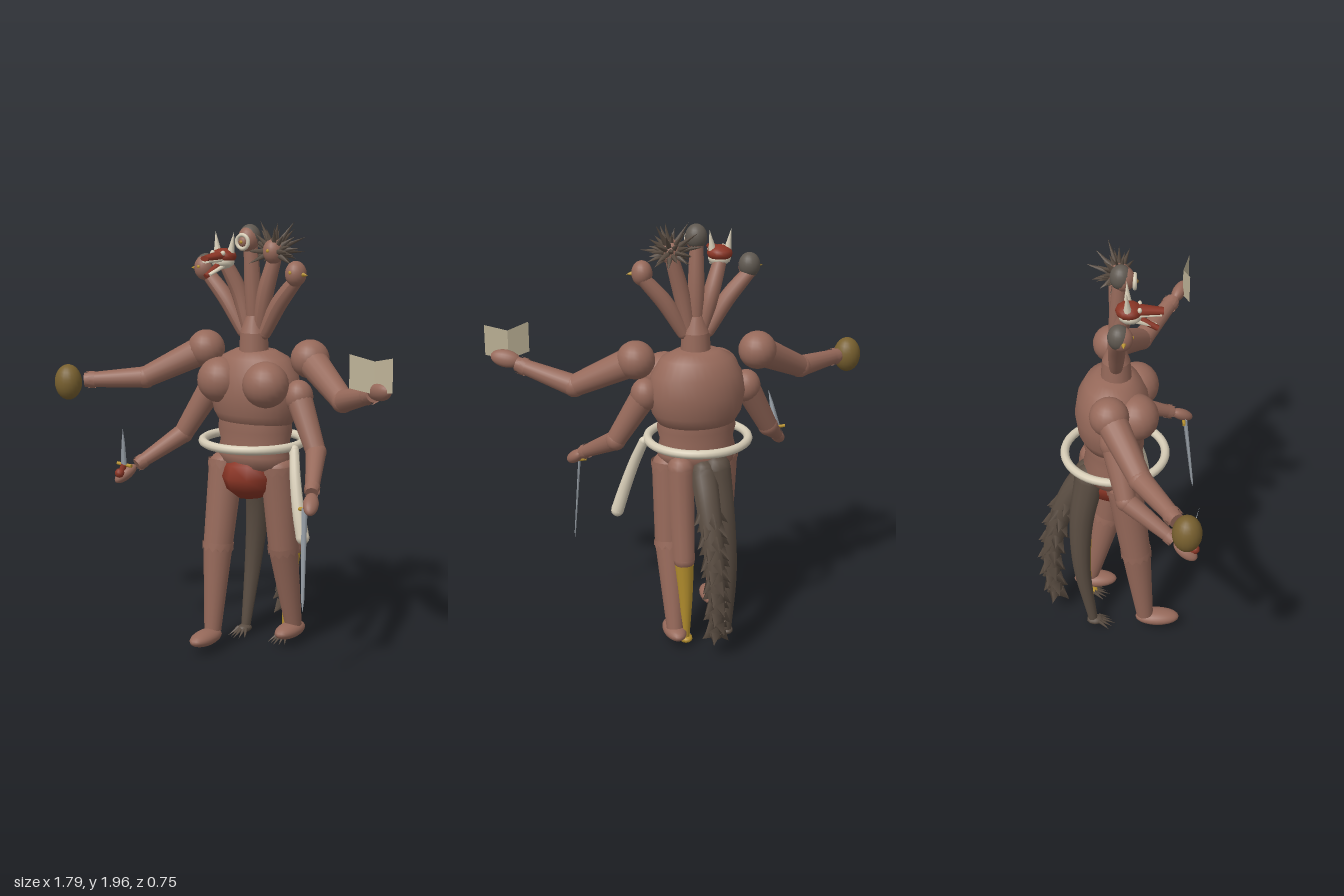
import * as THREE from 'three';

const V = (x, y, z) => new THREE.Vector3(x, y, z);
const paint = (name, color, side = THREE.FrontSide) => {
  const m = new THREE.MeshStandardMaterial({ color, side });
  m.name = name;
  return m;
};

export function createModel() {
  const model = new THREE.Group();
  const D = THREE.DoubleSide;
  const skin = paint('skin brown', 0x96695a, D), red = paint('red', 0x8a3525), dark = paint('dark scale', 0x5a4d42, D);
  const cream = paint('ivory', 0xd6ccb6), gold = paint('gold', 0xb8922f), olive = paint('bronze', 0x78602f);
  const steel = paint('steel', 0xa0a8b0, D), page = paint('parchment', 0xbfb498, D), grey = paint('grey hair', 0x5f5850);

  const add = (name, geo, mat, pos) => {
    const mesh = new THREE.Mesh(geo, mat);
    mesh.name = name;
    if (pos) mesh.position.copy(pos);
    model.add(mesh);
    return mesh;
  };
  const ball = (name, p, rx, ry, rz, mat, w = 20, h = 14) => {
    const m = add(name, new THREE.SphereGeometry(1, w, h), mat, p);
    m.scale.set(rx, ry, rz);
    return m;
  };
  const align = (mesh, dir) => mesh.quaternion.setFromUnitVectors(V(0, 1, 0), dir.clone().normalize());
  // tapered cylinder or cone from a to b
  const rod = (name, a, b, ra, rb, mat, sides = 16) => {
    const d = b.clone().sub(a);
    const m = add(name, new THREE.CylinderGeometry(rb, ra, d.length(), sides), mat, a.clone().addScaledVector(d, 0.5));
    align(m, d);
    return m;
  };
  // tube along a curve whose radius follows a rule
  const taper = (name, pts, radius, mat, seg = 20, sides = 12) => {
    const curve = new THREE.CatmullRomCurve3(pts);
    const geo = new THREE.TubeGeometry(curve, seg, 1, sides);
    const pos = geo.attributes.position, v = V(0, 0, 0);
    for (let i = 0; i <= seg; i++) {
      const c = curve.getPointAt(i / seg), r = radius(i / seg);
      for (let j = 0; j <= sides; j++) {
        const k = i * (sides + 1) + j;
        v.fromBufferAttribute(pos, k).sub(c).multiplyScalar(r).add(c);
        pos.setXYZ(k, v.x, v.y, v.z);
      }
    }
    geo.computeVertexNormals();
    add(name, geo, mat);
    for (const t of [0, 1]) ball(name + 'End', curve.getPointAt(t), radius(t), radius(t), radius(t), mat, 12, 8);
    return curve;
  };
  // ragged skin edge around a limb
  const collar = (p, dir, r, h = 0.04) => {
    const geo = new THREE.CylinderGeometry(r, r, h, 24, 1, true), pos = geo.attributes.position;
    for (let i = 0; i < pos.count; i++) if (pos.getY(i) < 0 && i % 2) pos.setY(i, 0);
    geo.computeVertexNormals();
    align(add('raggedSeam', geo, skin, p), dir.clone().negate());
  };

  // torso
  const lathe = (name, profile, z) => {
    const geo = new THREE.LatheGeometry(profile.map(([x, y]) => new THREE.Vector2(x, y)), 32);
    add(name, geo, skin, V(0, 0, z)).scale.z = 0.76;
  };
  lathe('chest', [[0.13, 1.04], [0.175, 1.06], [0.205, 1.11], [0.222, 1.2], [0.205, 1.29], [0.16, 1.36], [0.1, 1.39], [0, 1.4]], -0.025);
  lathe('pelvis', [[0, 0.82], [0.1, 0.83], [0.17, 0.87], [0.182, 0.92], [0.168, 0.98], [0.18, 1.03], [0.175, 1.09]], -0.02);
  ball('loincloth', V(-0.005, 0.82, 0), 0.128, 0.115, 0.16, red, 9, 6);
  rod('neckBase', V(0, 1.36, -0.01), V(0, 1.47, -0.01), 0.07, 0.062, skin);
  rod('neckTop', V(0, 1.47, -0.01), V(0, 1.545, -0.01), 0.062, 0.035, skin);

  for (const s of [-1, 1]) {
    ball('breast', V(s * 0.122, 1.255, 0.08), 0.105, 0.103, 0.1, skin);

    // upper arm pair
    const hiShoulder = V(s * 0.28, 1.37, -0.035), hiElbow = V(s * 0.53, 1.23, 0.1);
    const hiWrist = s > 0 ? V(0.76, 1.305, 0.25) : V(-0.77, 1.215, 0.25);
    ball('upperShoulder', hiShoulder, 0.086, 0.086, 0.086, skin);
    rod('upperArm', hiShoulder, hiElbow, 0.07, 0.05, skin);
    ball('upperElbow', hiElbow, 0.052, 0.052, 0.052, skin);
    rod('upperForearm', hiElbow, hiWrist, 0.05, 0.033, skin);
    collar(hiElbow.clone().lerp(hiWrist, 0.9), hiWrist.clone().sub(hiElbow), 0.04);

    // lower arm pair
    const shoulder = V(s * 0.235, 1.2, -0.015), elbow = V(s * 0.36, 0.975, 0.04), wrist = V(s * 0.47, 0.85, 0.25);
    ball('lowerShoulder', shoulder, 0.065, 0.075, 0.065, skin);
    rod('lowerUpperArm', shoulder, elbow, 0.06, 0.045, skin);
    ball('lowerElbow', elbow, 0.047, 0.047, 0.047, skin);
    rod('lowerForearm', elbow, wrist, 0.046, 0.028, skin);
    align(ball('lowerHand', V(s * 0.497, 0.815, 0.3), 0.034, 0.062, 0.028, skin), V(s * 0.04, -0.06, 0.09));
    collar(elbow.clone().lerp(wrist, 0.93), wrist.clone().sub(elbow), 0.034);

    // striding legs: the right one forward, the left one back
    const fwd = s < 0;
    const hip = V(s * 0.125, 0.86, fwd ? 0.03 : -0.02);
    const knee = V(s * 0.135, 0.48, fwd ? 0.085 : -0.05);
    const ankle = V(s * 0.135, 0.09, fwd ? 0.13 : -0.14);
    ball('hip', hip, 0.078, 0.06, 0.08, skin);
    rod('thigh', hip, knee, 0.081, 0.068, skin);
    ball('knee', knee, 0.068, 0.06, 0.068, skin);
    rod('shin', knee, ankle, 0.068, 0.04, skin);
    collar(hip, knee.clone().sub(hip), 0.084);
    collar(knee, ankle.clone().sub(knee), 0.072);
    ball('foot', V(s * 0.132, 0.068, fwd ? 0.19 : -0.115), 0.052, 0.036, 0.105, skin);
  }

  // hanging bronze weight, open hand and book
  ball('bronzeWeight', V(-0.835, 1.205, 0.29), 0.064, 0.083, 0.062, olive);
  align(ball('openHand', V(0.805, 1.325, 0.28), 0.04, 0.07, 0.032, skin), V(0.1, 0.02, 0.045));
  const book = new THREE.BufferGeometry();
  book.setAttribute('position', new THREE.Float32BufferAttribute([
    0.69, 1.335, 0.325, 0.79, 1.315, 0.295, 0.89, 1.335, 0.325,
    0.69, 1.475, 0.325, 0.79, 1.45, 0.295, 0.89, 1.475, 0.325], 3));
  book.setIndex([0, 1, 4, 0, 4, 3, 1, 2, 5, 1, 5, 4]);
  const flat = book.toNonIndexed();
  flat.computeVertexNormals();
  add('book', flat, page);

  // blades
  const blade = (name, a, b, w) => {
    const m = rod(name, a, b, w, w * 0.55, steel, 4);
    m.scale.z = 0.2;
    const d = b.clone().sub(a).normalize();
    rod(name + 'Tip', b, b.clone().addScaledVector(d, w * 4), w * 0.55, 0, steel, 4).scale.z = 0.2;
  };
  blade('sword', V(0.475, 0.8, 0.315), V(0.497, 0.41, 0.36), 0.014);
  rod('swordGuard', V(0.445, 0.79, 0.31), V(0.51, 0.795, 0.31), 0.008, 0.008, gold, 8);
  blade('dagger', V(-0.495, 0.86, 0.315), V(-0.476, 0.97, 0.34), 0.018);
  rod('daggerGuard', V(-0.535, 0.862, 0.31), V(-0.455, 0.857, 0.31), 0.008, 0.008, gold, 8);
  rod('daggerGrip', V(-0.512, 0.79, 0.325), V(-0.495, 0.86, 0.315), 0.018, 0.014, red, 10);
  ball('daggerPommel', V(-0.5, 0.825, 0.34), 0.022, 0.022, 0.022, red, 10, 8);

  // waist ring and hanging tusk
  const ring = add('waistRing', new THREE.TorusGeometry(0.228, 0.02, 10, 48), cream, V(-0.008, 0.975, -0.015));
  ring.rotation.x = Math.PI / 2;
  taper('hangingTusk', [V(0.235, 0.965, 0.02), V(0.27, 0.85, 0.065), V(0.31, 0.71, 0.1), V(0.342, 0.6, 0.115)],
    t => 0.022 + 0.008 * t, cream);

  // beast legs behind: one feathered-yellow below the knee, one scaled
  const birdKnee = V(0.1, 0.45, -0.175), birdFoot = V(0.085, 0.04, -0.15);
  taper('birdThigh', [V(0.1, 0.87, -0.12), V(0.1, 0.66, -0.145), birdKnee], t => 0.062 - 0.012 * t, skin);
  taper('birdShin', [birdKnee, V(0.09, 0.25, -0.165), birdFoot], t => 0.046 - 0.03 * t, gold);
  const scaleFoot = V(-0.12, 0.04, -0.12);
  taper('scaledLeg', [V(-0.06, 0.86, -0.13), V(-0.085, 0.62, -0.17), V(-0.11, 0.36, -0.17), scaleFoot],
    t => 0.07 - 0.048 * t, dark);
  for (const [p, mat] of [[birdFoot, gold], [scaleFoot, dark]]) {
    ball('beastFoot', p.clone().add(V(0, -0.01, 0.01)), 0.032, 0.02, 0.04, mat, 10, 8);
    for (let i = -2; i <= 2; i++)
      rod('claw', p.clone().add(V(i * 0.01, -0.005, 0.03)), V(p.x + i * 0.023, 0.004, p.z + 0.11 - Math.abs(i) * 0.015), 0.01, 0, dark, 6);
  }

  // spiked tail
  const tail = taper('tail', [V(0, 0.85, -0.14), V(0, 0.74, -0.21), V(-0.005, 0.58, -0.275), V(-0.01, 0.38, -0.315), V(-0.015, 0.22, -0.315), V(-0.015, 0.12, -0.3)],
    t => 0.062 - 0.03 * t, dark, 28);
  for (let i = 0; i < 12; i++) for (let j = 0; j < 4; j++) {
    const t = 0.25 + 0.74 * i / 11, a = j * Math.PI / 2 + i * 0.75;
    const p = tail.getPointAt(t), d = tail.getTangentAt(t), r = 0.054 - 0.026 * t;
    const out = V(Math.cos(a), 0, Math.sin(a));
    rod('tailScale', p.clone().addScaledVector(out, r * 0.7), p.clone().addScaledVector(out, r + 0.032).addScaledVector(d, 0.045), 0.03, 0, dark, 4);
  }

  // five necks with their heads
  const heads = [V(-0.25, 1.745, 0.015), V(-0.125, 1.8, 0.05), V(-0.008, 1.885, 0.02), V(0.11, 1.835, 0), V(0.235, 1.745, 0.015)];
  heads.forEach((h, i) => {
    const k = i - 2;
    const base = V(k * 0.028, 1.47, -0.01);
    taper('neck', [base, V(base.x + (h.x - base.x) * 0.45, base.y + (h.y - base.y) * 0.5, -0.005), h.clone().add(V(0, -0.02, -0.015))],
      t => 0.03 + 0.007 * Math.sin(t * Math.PI), skin, 14);
    if (i !== 1) ball('head', h, 0.046, 0.056, 0.05, skin);
  });
  for (const i of [0, 4]) {
    const h = heads[i], s = Math.sign(h.x);
    rod('goldBarb', h.clone().add(V(s * 0.035, 0, 0.01)), h.clone().add(V(s * 0.068, -0.003, 0.01)), 0.013, 0, gold, 8);
    ball('goldEye', h.clone().add(V(0, 0.008, 0.048)), 0.008, 0.008, 0.005, gold, 8, 6);
  }
  for (const i of [0, 2]) ball('hairCap', heads[i].clone().add(V(0, 0.008, -0.01)), 0.048, 0.056, 0.048, grey);

  // pale-rimmed face on the middle head
  const face = heads[2].clone().add(V(0, -0.01, 0.048));
  add('faceRim', new THREE.TorusGeometry(0.03, 0.009, 8, 20), cream, face);
  ball('faceCentre', face, 0.022, 0.022, 0.012, skin, 12, 8);
  ball('faceEye', face.clone().add(V(0, 0, 0.01)), 0.008, 0.008, 0.006, gold, 8, 6);

  // horned red mask head with open jaws
  const m = heads[1];
  ball('maskSkull', m.clone().add(V(0, 0.005, -0.005)), 0.058, 0.036, 0.058, red, 12, 8);
  ball('maskCheeks', m.clone().add(V(0, -0.018, 0)), 0.052, 0.034, 0.052, cream, 12, 8);
  rod('upperSnout', m.clone().add(V(0, 0.01, 0.02)), m.clone().add(V(0, 0.005, 0.14)), 0.038, 0.022, red, 8).scale.z = 0.55;
  rod('upperTeeth', m.clone().add(V(0, -0.008, 0.02)), m.clone().add(V(0, -0.009, 0.132)), 0.034, 0.02, cream, 8).scale.z = 0.35;
  rod('lowerJaw', m.clone().add(V(0, -0.035, 0.02)), m.clone().add(V(0, -0.068, 0.11)), 0.032, 0.016, cream, 8).scale.z = 0.4;
  rod('tongue', m.clone().add(V(0, -0.03, 0.03)), m.clone().add(V(-0.01, -0.075, 0.118)), 0.016, 0.012, red, 8);
  for (const s of [-1, 1]) {
    rod('horn', m.clone().add(V(s * 0.035, 0.02, -0.01)), m.clone().add(V(s * 0.05, 0.115, -0.015)), 0.018, 0, cream, 8);
    ball('maskEye', m.clone().add(V(s * 0.028, 0.022, 0.04)), 0.012, 0.012, 0.01, cream, 8, 6);
  }

  // mane of spikes on the fourth head
  const c = heads[3];
  for (let i = 0; i < 60; i++) {
    const y = 1 - 2 * (i + 0.5) / 60, a = i * 2.39996, r = Math.sqrt(1 - y * y);
    const d = V(r * Math.cos(a), y, r * Math.sin(a));
    if (d.z > 0.55 || d.y < -0.6) continue;
    const len = 0.1 + 0.06 * (0.5 + 0.5 * Math.sin(i * 5.3)) * (d.y > -0.2 ? 1 : 0.4);
    rod('maneSpike', c.clone().addScaledVector(d, 0.035), c.clone().addScaledVector(d, len), 0.015, 0, dark, 5);
  }
  ball('maneEye', c.clone().add(V(0, 0.005, 0.048)), 0.008, 0.008, 0.005, gold, 8, 6);
  return model;
}
